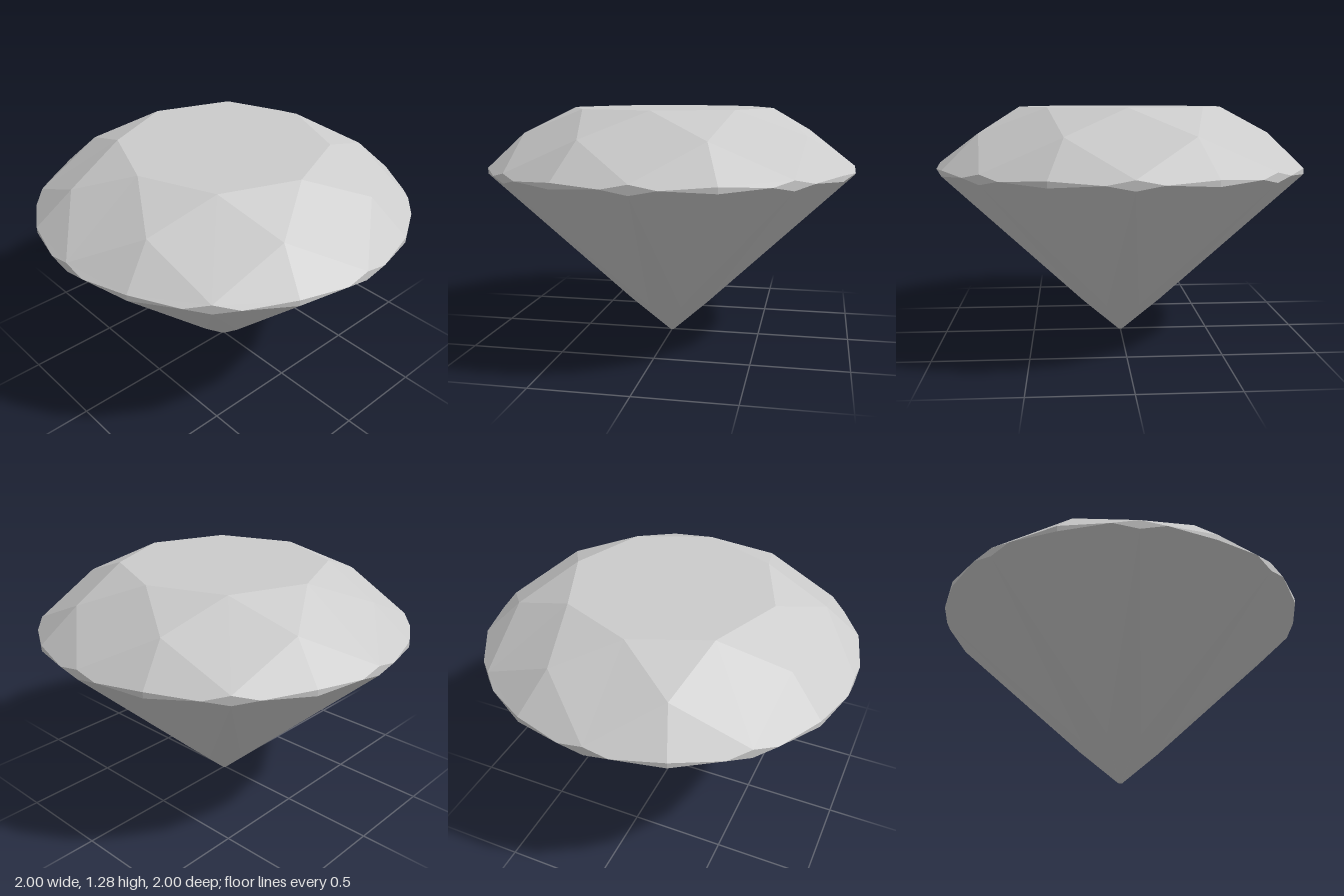
import * as THREE from 'three';

const STEP = Math.PI / 4; // eightfold symmetry
const DEG = Math.PI / 180;

// point at an angle (degrees, from +z towards +x), radius and height
const at = (deg, r, y) => [r * Math.sin(deg * DEG), y, r * Math.cos(deg * DEG)];

// flat-shaded mesh from convex facets, each repeated eight times around y
function facetMesh(name, facets, material, repeats = 8) {
  const pos = [];
  const v = new THREE.Vector3();
  const up = new THREE.Vector3(0, 1, 0);
  for (let k = 0; k < repeats; k++) {
    for (const f of facets) {
      for (let i = 1; i < f.length - 1; i++) {
        for (const p of [f[0], f[i], f[i + 1]]) {
          v.fromArray(p).applyAxisAngle(up, k * STEP);
          pos.push(v.x, v.y, v.z);
        }
      }
    }
  }
  const geometry = new THREE.BufferGeometry();
  geometry.setAttribute('position', new THREE.Float32BufferAttribute(pos, 3));
  geometry.computeVertexNormals();
  const mesh = new THREE.Mesh(geometry, material);
  mesh.name = name;
  return mesh;
}

export function createModel() {
  const group = new THREE.Group();
  group.name = 'brilliantCutGem';
  const material = new THREE.MeshStandardMaterial({ color: 0xcccccc, flatShading: true });

  // corner points of one eighth of the stone
  const rim = 1 / Math.cos(7.5 * DEG);
  const table = (a) => at(a, 0.558, 1.28);
  const star = (a) => at(a, 0.813, 1.148);
  const kiteTip = at(0, 1, 0.975);
  const girdleSide = (a) => at(a, rim, 0.95);
  const girdleTop = (a) => at(a, rim, 0.965);
  const girdleLow = (a) => at(a, rim, 0.934);
  const mainTip = at(0, 1, 0.925);
  const split = (a) => at(a, 0.235, 0.197);
  const culet = (a) => at(a, 0.012, 0);

  // flat top
  const ring = [0, 1, 2, 3, 4, 5, 6, 7];
  group.add(facetMesh('table', [ring.map((k) => table(k * 45))], material, 1));

  // star, kite and upper girdle facets
  group.add(facetMesh('crown', [
    [star(22.5), table(45), table(0)],
    [kiteTip, star(22.5), table(0), star(-22.5)],
    [kiteTip, girdleSide(7.5), girdleTop(22.5), star(22.5)],
    [kiteTip, star(-22.5), girdleTop(-22.5), girdleSide(-7.5)],
  ], material));

  // thin scalloped band
  group.add(facetMesh('girdle', [
    [mainTip, girdleSide(7.5), kiteTip, girdleSide(-7.5)],
    [girdleSide(7.5), girdleLow(22.5), girdleTop(22.5)],
    [girdleLow(-22.5), girdleSide(-7.5), girdleTop(-22.5)],
  ], material));

  // long main facets and lower girdle facets
  group.add(facetMesh('pavilion', [
    [culet(-22.5), culet(22.5), split(22.5), mainTip, split(-22.5)],
    [split(22.5), girdleLow(22.5), girdleSide(7.5), mainTip],
    [split(-22.5), mainTip, girdleSide(-7.5), girdleLow(-22.5)],
  ], material));

  // tiny flat point at the bottom
  group.add(facetMesh('culet', [ring.map((k) => culet(22.5 - k * 45))], material, 1));

  return group;
}
